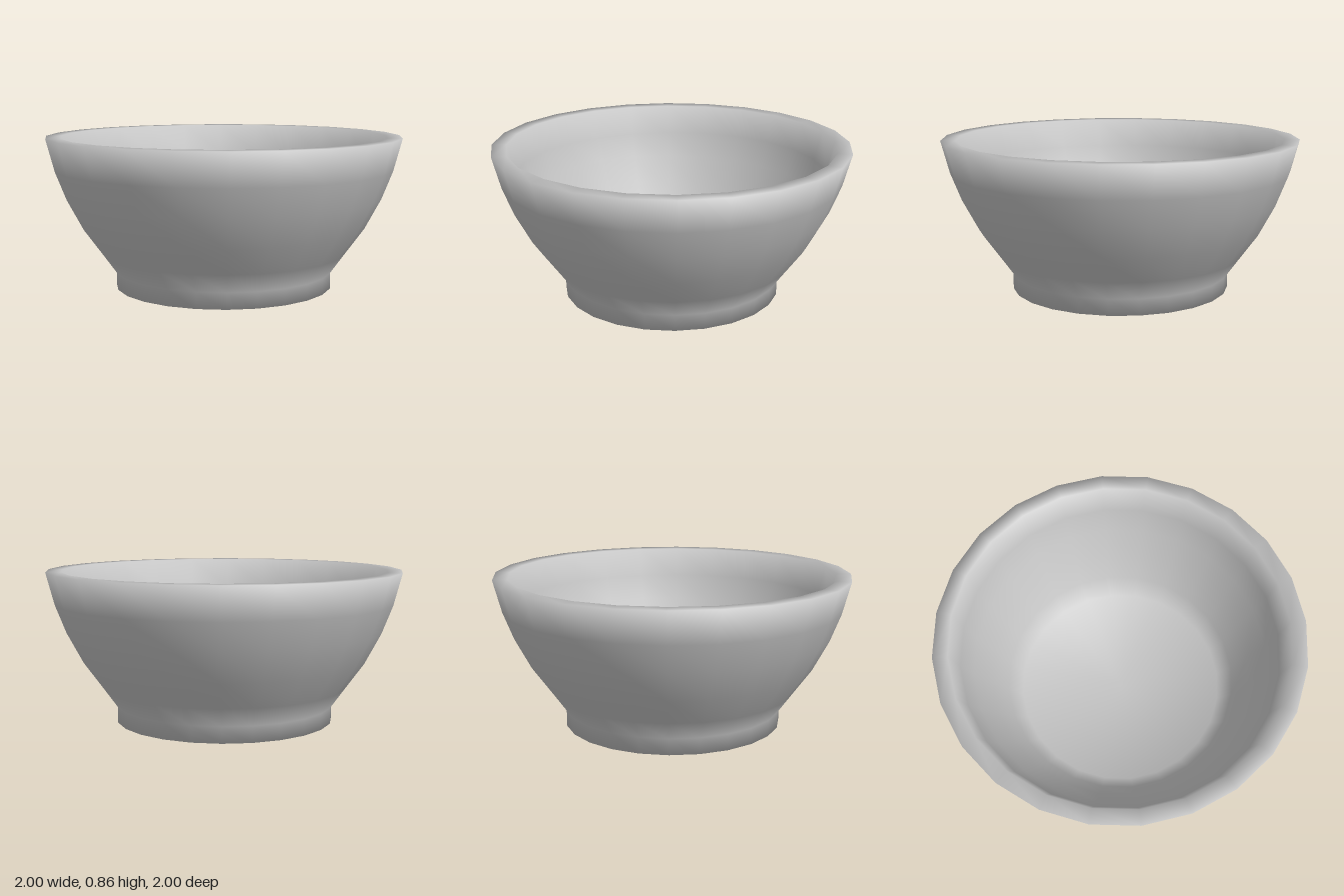
import * as THREE from 'three';

const SIDES = 24;

// Smooth lathe: each profile corner gets the even average of its two neighbouring edge normals
function smoothLathe(profile) {
  const points = profile.map(([r, y]) => new THREE.Vector2(r, y));
  const edges = points.slice(1).map((p, i) => {
    const d = p.clone().sub(points[i]);
    return new THREE.Vector2(d.y, -d.x).normalize();
  });
  const corners = points.map((p, i) => {
    const before = edges[Math.max(i - 1, 0)];
    const after = edges[Math.min(i, edges.length - 1)];
    return before.clone().add(after).normalize();
  });
  const geometry = new THREE.LatheGeometry(points, SIDES);
  const normals = geometry.attributes.normal;
  for (let i = 0; i <= SIDES; i++) {
    const angle = (i / SIDES) * Math.PI * 2;
    corners.forEach((n, j) => normals.setXYZ(
      i * points.length + j, n.x * Math.sin(angle), n.y, n.x * Math.cos(angle)));
  }
  return geometry;
}

export function createModel() {
  const group = new THREE.Group();
  group.name = 'bowl';
  const ceramic = new THREE.MeshStandardMaterial({ color: 0xc4c4c4 });
  ceramic.name = 'light grey';

  const profile = [
    // underside and straight foot
    [0, 0], [0.617, 0], [0.617, 0.09],
    // flaring outer wall
    [0.695, 0.2], [0.803, 0.35], [0.893, 0.52], [0.953, 0.675], [1, 0.855],
    // flat rim and inner wall
    [0.918, 0.855], [0.875, 0.69], [0.82, 0.545], [0.738, 0.385], [0.66, 0.235],
    // inner floor
    [0.585, 0.13], [0, 0.13],
  ];
  const shell = new THREE.Mesh(smoothLathe(profile), ceramic);
  shell.name = 'bowlShell';
  group.add(shell);
  return group;
}
